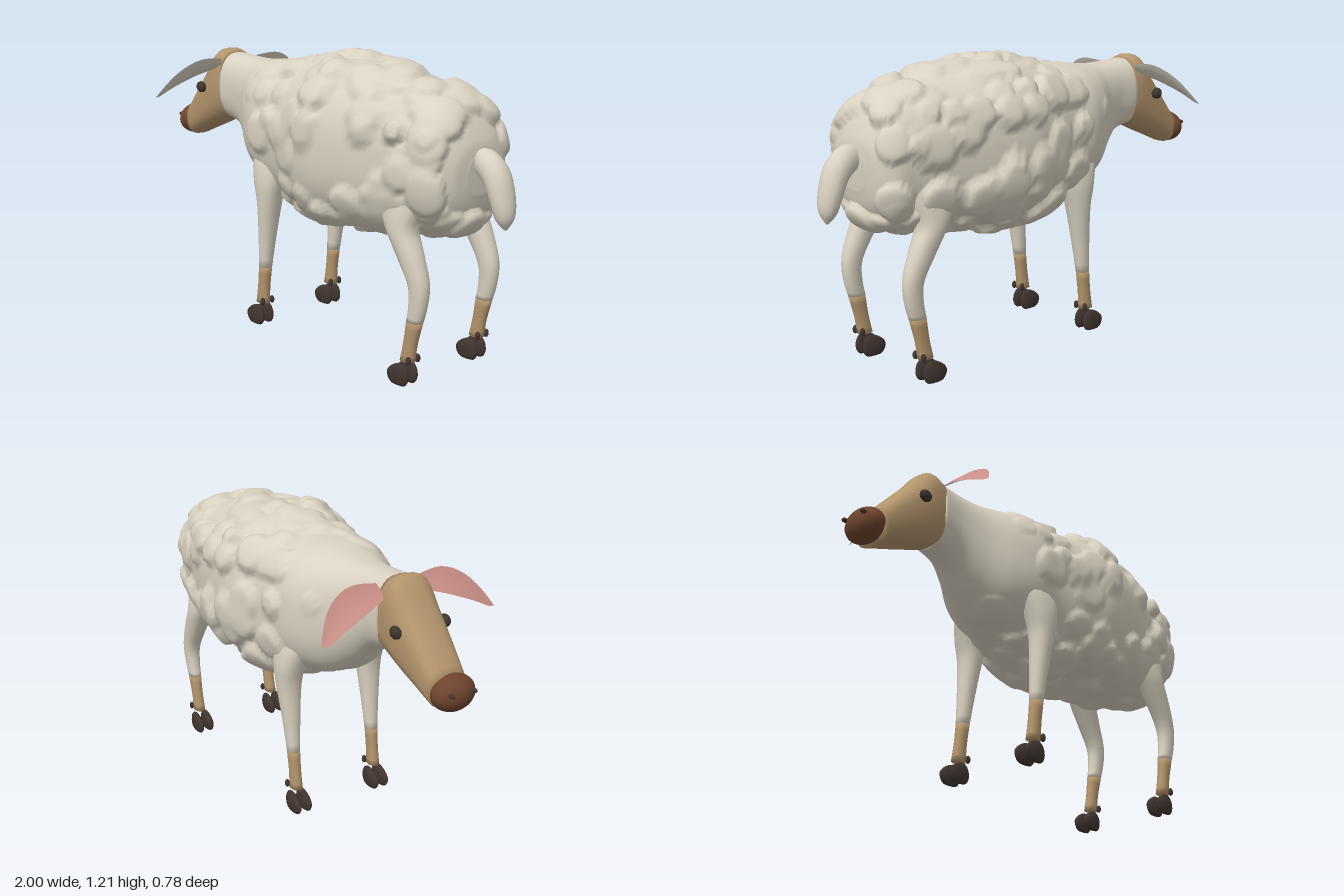
import * as THREE from 'three';

const mat = (name, color) => {
  const m = new THREE.MeshStandardMaterial({ color });
  m.name = name;
  return m;
};

// Seeded random numbers
function seeded(s) {
  return () => {
    s = (s * 16807) % 2147483647;
    return s / 2147483647;
  };
}

// Smooth closed skin through sections [ax, ay, bx, by, halfWidth, z]; a and b are opposite points in the side profile
function loft(sections, { n = 16, rows = 12, power = 2 } = {}) {
  const ca = new THREE.CatmullRomCurve3(sections.map(s => new THREE.Vector3(s[0], s[1], s[4])));
  const cb = new THREE.CatmullRomCurve3(sections.map(s => new THREE.Vector3(s[2], s[3], s[5] ?? 0)));
  const pos = [], idx = [];
  const shape = v => Math.sign(v) * Math.abs(v) ** (2 / power);
  for (let r = 0; r <= rows; r++) {
    const a = ca.getPoint(r / rows), b = cb.getPoint(r / rows);
    for (let i = 0; i < n; i++) {
      const t = (i / n) * Math.PI * 2, c = shape(Math.cos(t)) / 2;
      pos.push((a.x + b.x) / 2 + (a.x - b.x) * c, (a.y + b.y) / 2 + (a.y - b.y) * c, b.z + a.z * shape(Math.sin(t)));
      if (r < rows) {
        const p = r * n + i, q = r * n + (i + 1) % n;
        idx.push(p, q, p + n, q, q + n, p + n);
      }
    }
  }
  // End caps
  for (const r of [0, rows]) {
    const s = sections[r ? sections.length - 1 : 0], centre = pos.length / 3;
    pos.push((s[0] + s[2]) / 2, (s[1] + s[3]) / 2, s[5] ?? 0);
    for (let i = 0; i < n; i++) {
      const p = r * n + i, q = r * n + (i + 1) % n;
      idx.push(...(r ? [p, q, centre] : [q, p, centre]));
    }
  }
  // Turn the faces outward
  const v = i => new THREE.Vector3().fromArray(pos, i * 3);
  let volume = 0;
  for (let i = 0; i < idx.length; i += 3) volume += v(idx[i]).dot(v(idx[i + 1]).cross(v(idx[i + 2])));
  if (volume < 0) idx.reverse();
  const g = new THREE.BufferGeometry();
  g.setAttribute('position', new THREE.Float32BufferAttribute(pos, 3));
  g.setIndex(idx);
  g.computeVertexNormals();
  return g;
}

// Raise flat-topped tufts around random points of the fleece, fading toward the neck and the rump
function addTufts(g, count) {
  const rnd = seeded(71), p = g.attributes.position, nor = g.attributes.normal;
  const tufts = [];
  while (tufts.length < count) {
    const at = new THREE.Vector3().fromBufferAttribute(p, Math.floor(rnd() * p.count));
    const fade = THREE.MathUtils.smoothstep(at.x, -0.35, 0.1);
    if (at.x < 0.8 && rnd() < fade + 0.03) tufts.push({ at, r: 0.04 + rnd() * 0.05, h: (0.012 + rnd() * 0.026) * (0.3 + 0.7 * fade) });
  }
  const v = new THREE.Vector3(), d = new THREE.Vector3();
  for (let i = 0; i < p.count; i++) {
    v.fromBufferAttribute(p, i);
    const base = -0.008 * THREE.MathUtils.smoothstep(v.x, -0.4, 0);
    let rise = base;
    for (const t of tufts) {
      const k = d.subVectors(v, t.at).length() / t.r;
      if (k < 1) rise = Math.max(rise, base + t.h * Math.sqrt(1 - k ** 6));
    }
    d.fromBufferAttribute(nor, i);
    v.addScaledVector(d, rise);
    p.setXYZ(i, v.x, v.y, v.z);
  }
  g.computeVertexNormals();
  return g;
}

// Curved leaf for an ear; back = the side facing the tail
function earGeometry(side, back) {
  const curve = new THREE.CatmullRomCurve3([
    new THREE.Vector3(-0.612, 1.08, 0.09), new THREE.Vector3(-0.625, 1.065, 0.2),
    new THREE.Vector3(-0.648, 1.02, 0.3), new THREE.Vector3(-0.685, 0.945, 0.388)]);
  const across = new THREE.Vector3(0.72, 0.72, 0.3).normalize();
  const out = new THREE.Vector3(0.75, -0.55, -0.3).normalize();
  const pos = [], idx = [], U = 14, V = 6;
  for (let u = 0; u <= U; u++) for (let k = 0; k <= V; k++) {
    const t = u / U, w = (k / V) * 2 - 1;
    const half = 0.06 * Math.sin(Math.PI * (0.12 + 0.88 * t)) ** 0.7;
    const p = curve.getPoint(t).addScaledVector(across, w * half)
      .addScaledVector(out, (1 - w * w) * half * (back ? 0.2 : 0.1));
    pos.push(p.x, p.y, p.z * side);
    if (u < U && k < V) {
      const a = u * (V + 1) + k, b = a + 1, c = a + V + 1, e = c + 1;
      idx.push(a, b, c, b, e, c);
    }
  }
  const g = new THREE.BufferGeometry();
  g.setAttribute('position', new THREE.Float32BufferAttribute(pos, 3));
  g.setIndex(idx);
  g.computeVertexNormals();
  // Keep only the wanted facing
  const facing = new THREE.Vector3().fromBufferAttribute(g.attributes.normal, 7 * (V + 1) + 3).x;
  if ((facing > 0) !== back) { idx.reverse(); g.setIndex(idx); g.computeVertexNormals(); }
  return g;
}

export function createModel() {
  const group = new THREE.Group();
  const wool = mat('wool', 0xd9d1c1), tan = mat('tan', 0xb3946c), brown = mat('noseBrown', 0x6f452e);
  const dark = mat('hoofDark', 0x41352f), pink = mat('earPink', 0xc98f87);
  const add = (name, geometry, material) => {
    const m = new THREE.Mesh(geometry, material);
    m.name = name;
    group.add(m);
    return m;
  };
  const ball = (name, material, x, y, z, sx, sy, sz) => {
    const m = add(name, new THREE.SphereGeometry(1, 20, 14), material);
    m.position.set(x, y, z);
    m.scale.set(sx, sy, sz);
  };

  // Fleece from neck to rump
  const body = loft([
    [-0.61, 1.122, -0.61, 0.83, 0.102], [-0.5, 1.115, -0.5, 0.795, 0.108], [-0.4, 1.112, -0.4, 0.705, 0.143],
    [-0.3, 1.122, -0.3, 0.63, 0.208], [-0.2, 1.137, -0.2, 0.595, 0.25], [-0.08, 1.145, -0.08, 0.545, 0.262],
    [0.06, 1.165, 0.06, 0.505, 0.293], [0.2, 1.185, 0.2, 0.5, 0.322], [0.38, 1.165, 0.38, 0.525, 0.3],
    [0.56, 1.14, 0.58, 0.55, 0.257], [0.7, 1.1, 0.71, 0.58, 0.223], [0.785, 1.05, 0.785, 0.6, 0.205],
    [0.845, 0.95, 0.835, 0.665, 0.145], [0.86, 0.88, 0.855, 0.74, 0.07]],
    { n: 112, rows: 120, power: 2.4 });
  add('fleece', addTufts(body, 175), wool);

  // Head, nose, nostrils and eyes
  add('head', loft([
    [-0.6, 1.122, -0.6, 0.83, 0.1], [-0.665, 1.135, -0.635, 0.815, 0.104], [-0.74, 1.048, -0.71, 0.783, 0.1],
    [-0.83, 0.945, -0.81, 0.743, 0.09], [-0.92, 0.84, -0.89, 0.71, 0.078]], { n: 28, rows: 16, power: 2.7 }), tan);
  ball('nose', brown, -0.93, 0.778, 0, 0.063, 0.07, 0.09);
  for (const s of [1, -1]) {
    ball('nostril', dark, -0.986, 0.795, s * 0.05, 0.014, 0.009, 0.01);
    ball('eye', dark, -0.733, 0.96, s * 0.111, 0.028, 0.025, 0.018);
    add('earInside', earGeometry(s, false), pink);
    add('earBack', earGeometry(s, true), wool);
  }

  // Tail
  add('tail', loft([
    [0.8, 0.9, 0.8, 0.82, 0.035], [0.88, 0.915, 0.84, 0.815, 0.045], [0.95, 0.865, 0.885, 0.78, 0.055],
    [0.99, 0.765, 0.91, 0.725, 0.053], [0.998, 0.68, 0.935, 0.665, 0.038], [0.975, 0.632, 0.965, 0.632, 0.008]],
    { rows: 20 }), wool);

  // Legs: woolly upper part sunk into the body, tan shank, split hoof and two dewclaws
  const legs = {
    front: {
      upper: [[-0.2, 0.88, -0.06, 0.88, 0.045, 0.12], [-0.24, 0.75, -0.05, 0.75, 0.064, 0.165],
        [-0.215, 0.65, -0.065, 0.65, 0.06, 0.19], [-0.192, 0.56, -0.088, 0.56, 0.052, 0.195],
        [-0.195, 0.4, -0.12, 0.4, 0.036, 0.195], [-0.202, 0.26, -0.145, 0.26, 0.026, 0.195]],
      lower: [[-0.202, 0.26, -0.145, 0.26, 0.026, 0.195], [-0.213, 0.17, -0.156, 0.17, 0.023, 0.195],
        [-0.226, 0.095, -0.16, 0.095, 0.024, 0.195]],
      hoof: -0.214, claw: -0.164,
    },
    hind: {
      upper: [[0.48, 0.9, 0.72, 0.9, 0.05, 0.11], [0.505, 0.75, 0.735, 0.73, 0.07, 0.155],
        [0.56, 0.63, 0.7, 0.61, 0.06, 0.188], [0.632, 0.51, 0.735, 0.53, 0.047, 0.195],
        [0.692, 0.4, 0.776, 0.41, 0.036, 0.195], [0.692, 0.32, 0.769, 0.32, 0.03, 0.195],
        [0.68, 0.26, 0.752, 0.26, 0.026, 0.195]],
      lower: [[0.68, 0.26, 0.752, 0.26, 0.026, 0.195], [0.667, 0.17, 0.727, 0.17, 0.023, 0.195],
        [0.65, 0.095, 0.715, 0.095, 0.024, 0.195]],
      hoof: 0.656, claw: 0.711,
    },
  };
  const toe = new THREE.SphereGeometry(1, 18, 14), tp = toe.attributes.position;
  // Toe slopes down toward its tip and has a flat sole
  for (let i = 0; i < tp.count; i++) {
    const x = tp.getX(i), y = Math.max(tp.getY(i), -0.75);
    tp.setY(i, y > 0 ? y * (1 + 0.35 * x) : y);
  }
  toe.computeVertexNormals();
  for (const [name, leg] of Object.entries(legs)) for (const s of [1, -1]) {
    const onSide = sections => sections.map(p => [...p.slice(0, 5), p[5] * s]);
    add(name + 'UpperLeg', loft(onSide(leg.upper), { rows: 20, power: 2.3 }), wool);
    add(name + 'Shank', loft(onSide(leg.lower), { rows: 6, power: 2.3 }), tan);
    for (const k of [1, -1]) {
      const z = s * 0.195 + k * 0.025;
      const hoof = add(name + 'Hoof', toe, dark);
      hoof.position.set(leg.hoof, 0.036, z);
      hoof.scale.set(0.056, 0.048, 0.017);
      ball(name + 'Dewclaw', dark, leg.claw, 0.108, z, 0.011, 0.017, 0.01);
    }
  }
  return group;
}
